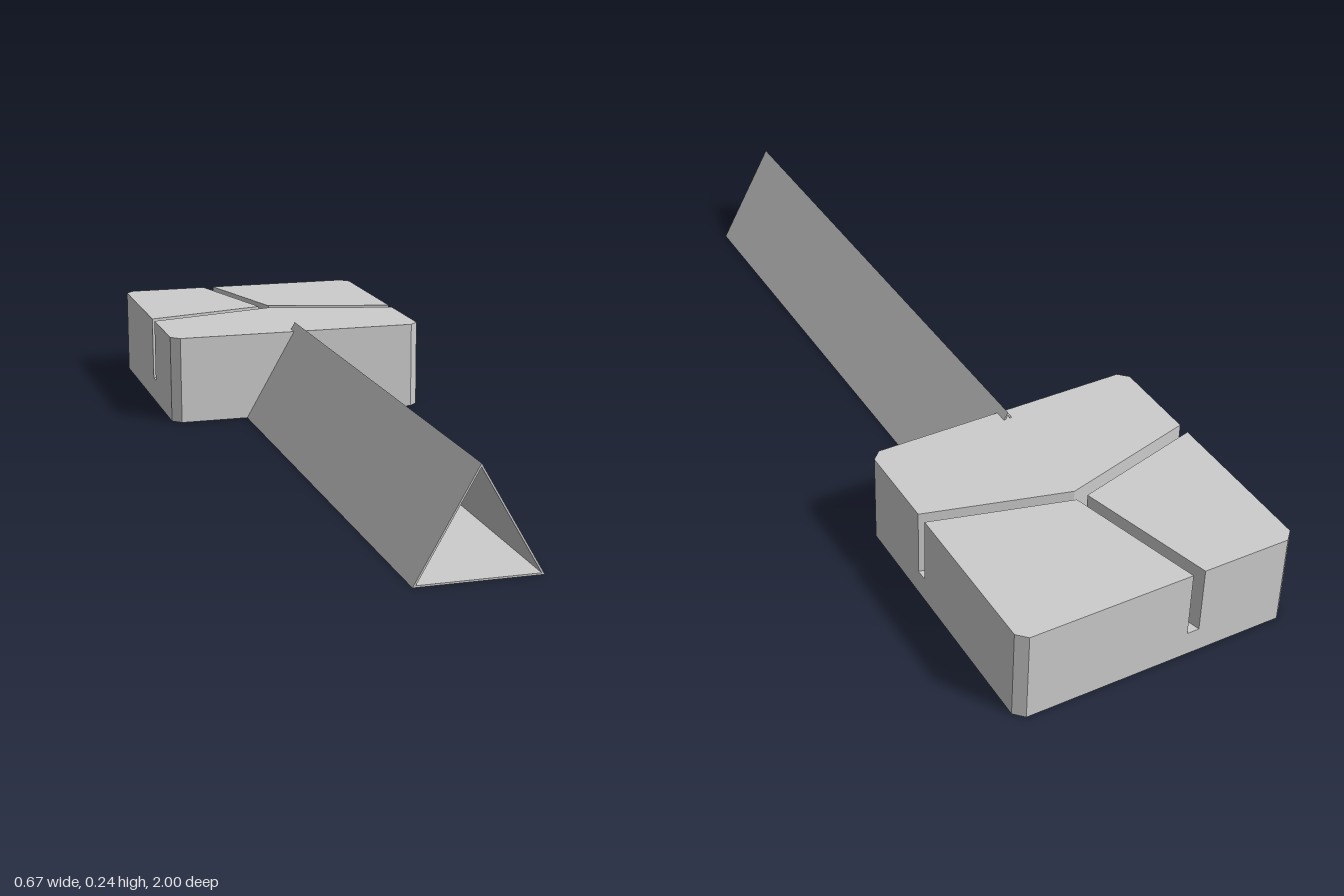
import * as THREE from 'three';

// Extrude a plan outline of [x, z] points upward from y0 to y1
function slab(name, points, y0, y1, material) {
  const shape = new THREE.Shape(points.map(([x, z]) => new THREE.Vector2(x, -z)));
  const geometry = new THREE.ExtrudeGeometry(shape, { depth: y1 - y0, bevelEnabled: false });
  geometry.rotateX(-Math.PI / 2).translate(0, y0, 0);
  const mesh = new THREE.Mesh(geometry, material);
  mesh.name = name;
  return mesh;
}

// Triangle centred on x, with a flat base
function triangle(Type, halfWidth, base, apex) {
  return new Type([
    new THREE.Vector2(-halfWidth, base),
    new THREE.Vector2(halfWidth, base),
    new THREE.Vector2(0, apex),
  ]);
}

export function createModel() {
  const model = new THREE.Group();
  model.name = 'groovedBlockWithTube';
  const grey = new THREE.MeshStandardMaterial({ color: 0xcccccc });
  grey.name = 'grey';

  const W = 0.333, back = -1, front = -0.336, c = 0.022;
  const grooveFloor = 0.06, top = 0.222;

  // Block: solid lower slab, with three raised pads separated by grooves
  const block = new THREE.Group();
  block.name = 'block';
  block.add(
    slab('blockBase', [
      [-W + c, front], [W - c, front], [W, front - c], [W, back + c],
      [W - c, back], [-W + c, back], [-W, back + c], [-W, front - c],
    ], 0, grooveFloor, grey),
    slab('frontPad', [
      [-W + c, front], [W - c, front], [W, front - c], [W, -0.568],
      [0, -0.657], [-W, -0.568], [-W, front - c],
    ], grooveFloor, top, grey),
    slab('backLeftPad', [
      [W, -0.597], [W, back + c], [W - c, back], [-0.075, back], [0.01, -0.683],
    ], grooveFloor, top, grey),
    slab('backRightPad', [
      [-W, -0.597], [-0.018, -0.681], [-0.104, back], [-W + c, back], [-W, back + c],
    ], grooveFloor, top, grey),
  );
  model.add(block);

  // Hollow triangular tube, its rear end let into the block
  const profile = triangle(THREE.Shape, 0.138, 0, 0.24);
  profile.holes.push(triangle(THREE.Path, 0.131, 0.004, 0.232));
  const tubeBack = -0.367;
  const tubeGeometry = new THREE.ExtrudeGeometry(profile, { depth: 1 - tubeBack, bevelEnabled: false });
  tubeGeometry.translate(0, 0, tubeBack);
  const tube = new THREE.Mesh(tubeGeometry, grey);
  tube.name = 'triangularTube';
  model.add(tube);

  return model;
}
